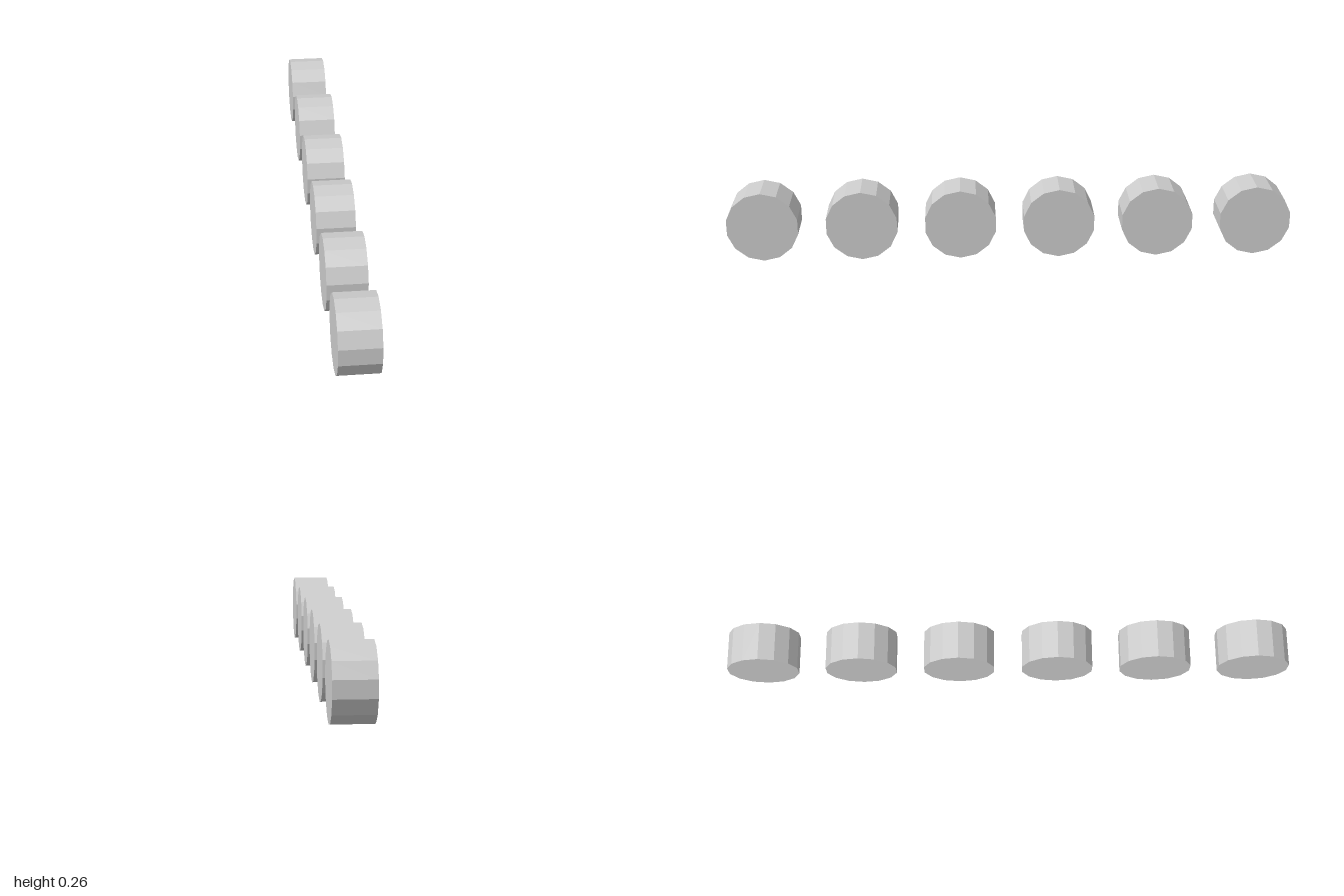
import * as THREE from 'three';

export function createModel() {
  const group = new THREE.Group();
  group.name = 'rollerRow';

  const grey = new THREE.MeshStandardMaterial({ color: 0xcccccc, flatShading: true });
  grey.name = 'light grey';

  const count = 6, spacing = 0.35, radius = 0.128, width = 0.135;

  // Fourteen-sided roller lying across x, with a corner at top and bottom
  const rollerGeometry = new THREE.CylinderGeometry(radius, radius, width, 14, 1, false, Math.PI / 2);
  rollerGeometry.rotateZ(Math.PI / 2);

  // Row of equally spaced rollers along z
  for (let i = 0; i < count; i++) {
    const roller = new THREE.Mesh(rollerGeometry, grey);
    roller.name = `roller${i + 1}`;
    roller.position.set(0, radius, (i - (count - 1) / 2) * spacing);
    group.add(roller);
  }
  return group;
}
